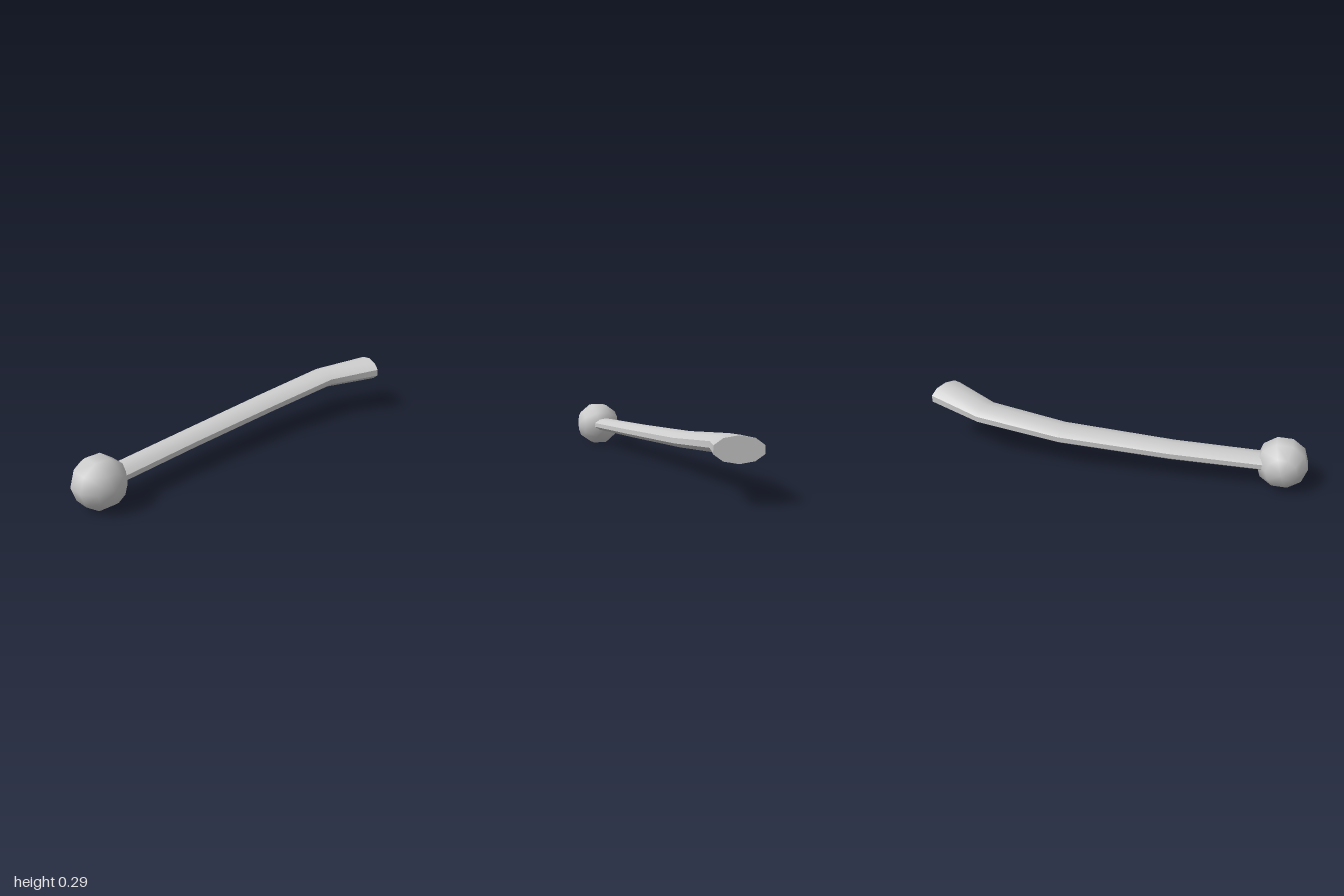
import * as THREE from 'three';
import { toCreasedNormals } from 'three/addons/utils/BufferGeometryUtils.js';

const SIDES = 10;

// Lofts ten-sided oval sections; each section leans by yaw in the ground plane.
function loft(sections) {
  const pos = [], index = [];
  for (const { c: [x, y, z], w, h, yaw } of sections) {
    for (let k = 0; k < SIDES; k++) {
      const a = Math.PI / 2 + (k / SIDES) * Math.PI * 2;
      const s = w * Math.cos(a);
      pos.push(x - s * Math.sin(yaw), y + h * Math.sin(a), z + s * Math.cos(yaw));
    }
  }
  const last = (sections.length - 1) * SIDES;
  const startCenter = pos.length / 3, endCenter = startCenter + 1;
  pos.push(...sections[0].c, ...sections[sections.length - 1].c);
  for (let k = 0; k < SIDES; k++) {
    const n = (k + 1) % SIDES;
    for (let r = 0; r < last; r += SIDES) {
      const a = r + k, b = a + SIDES, c = r + n, d = c + SIDES;
      index.push(a, b, c, b, d, c);
    }
    // end caps
    index.push(startCenter, k, n, endCenter, last + n, last + k);
  }
  const g = new THREE.BufferGeometry();
  g.setAttribute('position', new THREE.Float32BufferAttribute(pos, 3));
  g.setIndex(index);
  return toCreasedNormals(g, 0.6);
}

export function createModel() {
  const group = new THREE.Group();
  const material = new THREE.MeshStandardMaterial({ color: 0xcccccc });

  // Bent, flattened shaft that widens toward its free end
  const shaft = new THREE.Mesh(loft([
    { c: [-0.86, 0.119, -0.012], w: 0.071, h: 0.037, yaw: 0 },
    { c: [-0.33, 0.135, -0.055], w: 0.074, h: 0.04, yaw: 0 },
    { c: [0.24, 0.163, -0.079], w: 0.084, h: 0.043, yaw: 0 },
    { c: [0.675, 0.207, -0.055], w: 0.091, h: 0.047, yaw: 0.17 },
    { c: [0.96, 0.2325, 0.064], w: 0.108, h: 0.0575, yaw: 0.384 },
  ]), material);
  shaft.name = 'shaft';
  group.add(shaft);

  // Coarse ball with its poles front and back
  const ballGeometry = new THREE.SphereGeometry(0.13, SIDES, 5).rotateX(Math.PI / 2);
  const ball = new THREE.Mesh(ballGeometry, material);
  ball.name = 'ball';
  ball.position.set(-0.876, 0.1176, -0.009);
  group.add(ball);

  return group;
}
